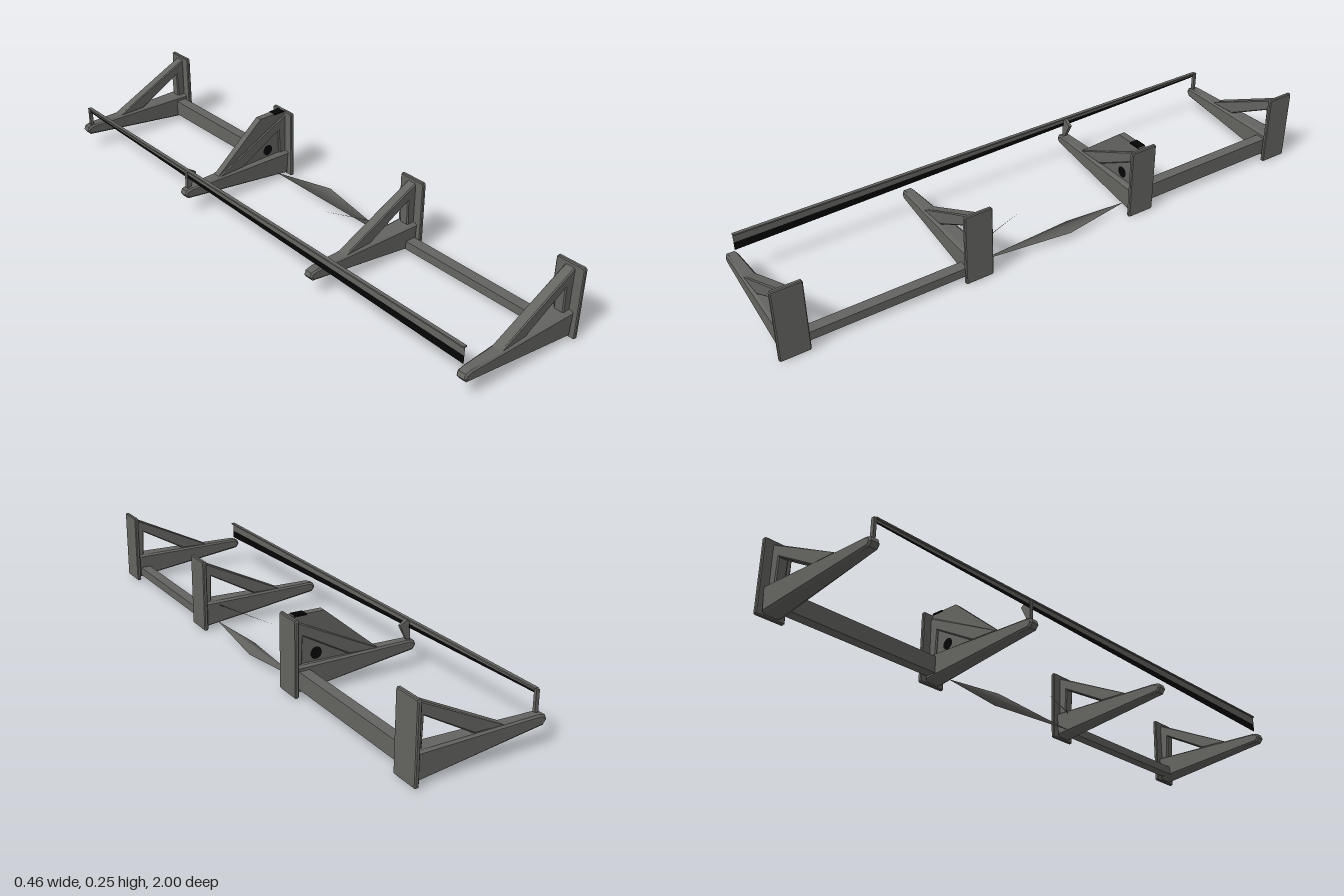
import * as THREE from 'three';

export function createModel() {
  const model = new THREE.Group();
  const steel = new THREE.MeshStandardMaterial({ color: 0x646461, side: THREE.DoubleSide });
  steel.name = 'dark grey metal';
  const black = new THREE.MeshStandardMaterial({ color: 0x050505, side: THREE.DoubleSide });
  black.name = 'black';

  const add = (parent, name, geometry, material = steel) => {
    const mesh = new THREE.Mesh(geometry, material);
    mesh.name = name;
    parent.add(mesh);
    return mesh;
  };
  const shapeOf = (points) => new THREE.Shape(points.map(([x, y]) => new THREE.Vector2(x, y)));

  // Side profile in x and y, extruded in z about the middle, with softened edges
  const profile = (points, width, bevel = 0, hole) => {
    const shape = shapeOf(points);
    if (hole) shape.holes.push(shapeOf(hole));
    const depth = width - 2 * bevel;
    return new THREE.ExtrudeGeometry(shape, {
      depth, bevelEnabled: bevel > 0, bevelThickness: bevel, bevelSize: bevel,
      bevelOffset: -bevel, bevelSegments: 1,
    }).translate(0, 0, -depth / 2);
  };

  // Widens a profile in z towards the mounting plate
  const flare = (geometry) => {
    const p = geometry.attributes.position;
    for (let i = 0; i < p.count; i++) {
      const t = (p.getX(i) + 0.23) / 0.45;
      p.setZ(i, p.getZ(i) * (0.85 + 0.35 * t + 0.5 * Math.max(0, t - 0.85) / 0.15));
    }
    geometry.computeVertexNormals();
    return geometry;
  };

  const box = (parent, name, [x0, x1], [y0, y1], [z0, z1], material) => {
    const mesh = add(parent, name, new THREE.BoxGeometry(x1 - x0, y1 - y0, z1 - z0), material);
    mesh.position.set((x0 + x1) / 2, (y0 + y1) / 2, (z0 + z1) / 2);
  };

  // Thin sheet from a strip of corner points
  const sheet = (parent, name, corners, material) => {
    const g = new THREE.BufferGeometry();
    g.setAttribute('position', new THREE.Float32BufferAttribute(corners.flat(), 3));
    g.setIndex(corners.length === 4 ? [0, 1, 2, 0, 2, 3] : [0, 1, 2]);
    g.computeVertexNormals();
    add(parent, name, g, material);
  };

  // Four wall brackets
  const arm = flare(profile([
    [-0.22, 0.06], [0.215, 0.007], [0.22, 0.095], [-0.205, 0.095],
    [-0.225, 0.09], [-0.231, 0.075]], 0.042, 0.006));
  const brace = profile([
    [-0.085, 0.094], [0.02, 0.094], [0.185, 0.185], [0.188, 0.09],
    [0.219, 0.09], [0.219, 0.24], [0.2, 0.232]], 0.036, 0.004);
  const plate = new THREE.ExtrudeGeometry(shapeOf([
    [-0.05, 0.004], [-0.046, 0], [0.046, 0], [0.05, 0.004],
    [0.05, 0.246], [0.046, 0.252], [-0.046, 0.252], [-0.05, 0.246]]),
  { depth: 0.008, bevelThickness: 0.003, bevelSize: 0.003, bevelOffset: -0.003, bevelSegments: 1 });
  plate.rotateY(Math.PI / 2).translate(0.219, 0, 0);

  [0.945, 0.32, -0.325, -0.95].forEach((z, i) => {
    const bracket = new THREE.Group();
    bracket.name = 'bracket' + (i + 1);
    bracket.position.z = z;
    add(bracket, 'arm', arm);
    add(bracket, 'brace', brace);
    add(bracket, 'mountingPlate', plate);
    if (i === 2) {
      // Full gusset web with a dark round spot on both faces
      add(bracket, 'gusset', profile([
        [-0.085, 0.095], [0.219, 0.095], [0.219, 0.254], [0.108, 0.254]], 0.024));
      for (const side of [1, -1]) {
        const spot = add(bracket, 'gussetSpot', new THREE.CircleGeometry(0.02, 20), black);
        spot.position.set(0.137, 0.121, side * 0.0135);
      }
      box(bracket, 'gussetTopMark', [0.17, 0.212], [0.25, 0.255], [-0.015, 0.015], black);
    }
    model.add(bracket);
  });

  // Long rails between the outer bracket pairs
  box(model, 'frontRail', [0.17, 0.208], [0.016, 0.046], [0.34, 0.93]);
  box(model, 'backRail', [0.17, 0.208], [0.022, 0.08], [-0.94, -0.34]);

  // Thin folded web between the middle brackets
  sheet(model, 'middleWeb', [[0.17, 0.02, 0.29], [0.214, 0.022, -0.04], [0.17, 0.02, -0.3], [0.195, 0.06, -0.04]]);
  sheet(model, 'webSliver', [[0.165, 0.083, 0.29], [0.07, 0.065, 0.06], [0.165, 0.079, 0.29]]);

  // Tapering lip along the arm tips, with a dark lower band
  const x = -0.21;
  box(model, 'lipTop', [-0.215, -0.203], [0.16, 0.165], [-0.94, 0.935]);
  sheet(model, 'lip', [[x, 0.132, 0.935], [x, 0.153, -0.94], [x, 0.162, -0.94], [x, 0.162, 0.935]]);
  sheet(model, 'lipLowerBand', [[x, 0.104, 0.935], [x, 0.147, -0.94], [x, 0.153, -0.94], [x, 0.132, 0.935]], black);

  // Posts that carry the lip
  box(model, 'lipEndPost', [-0.214, -0.202], [0.088, 0.163], [-0.948, -0.938]);
  const post = add(model, 'lipMiddlePost', profile([
    [-0.214, 0.09], [-0.203, 0.09], [-0.175, 0.145], [-0.2, 0.162], [-0.214, 0.164]], 0.012));
  post.position.z = -0.325;

  return model;
}
